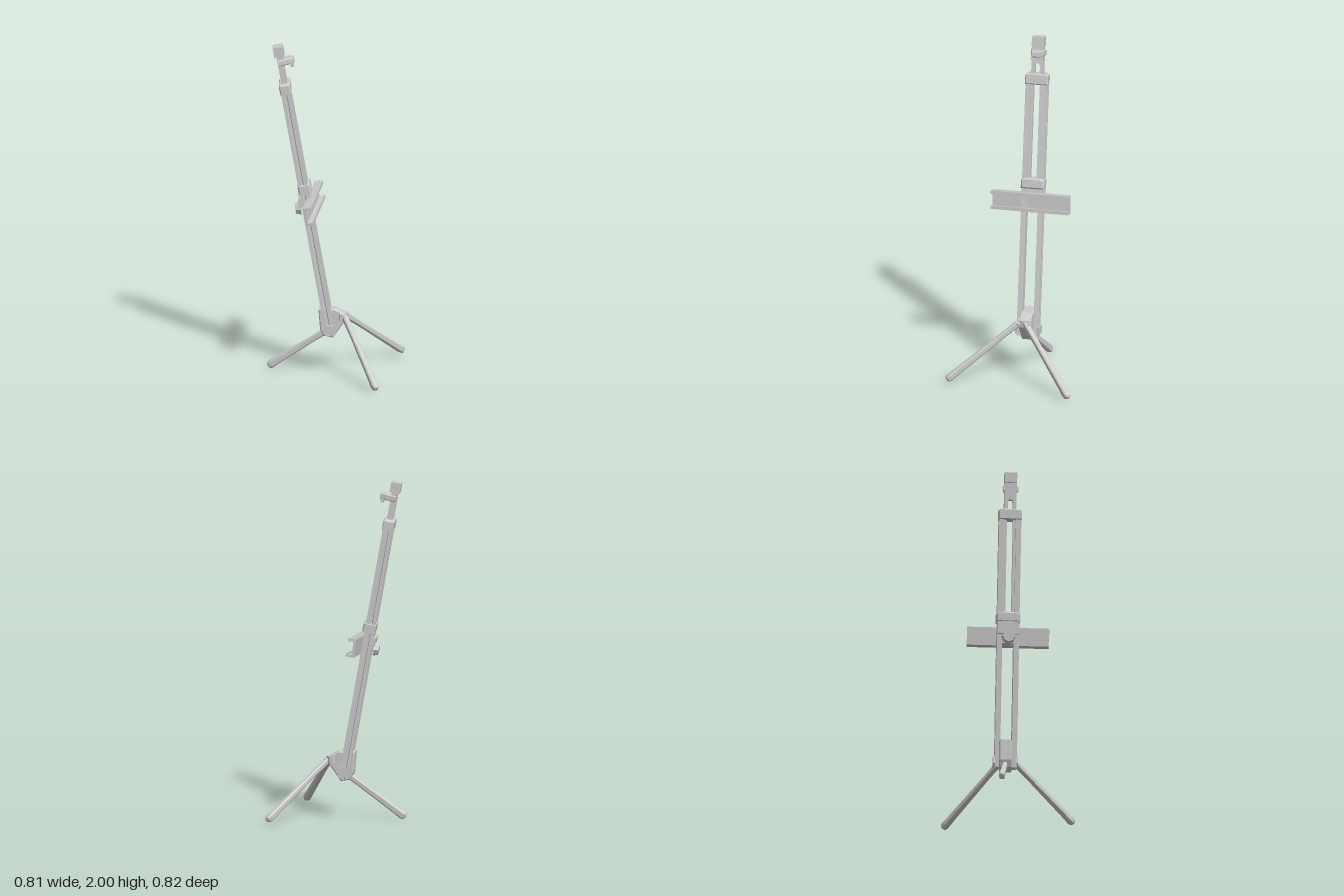
import * as THREE from 'three';

const material = new THREE.MeshStandardMaterial({ color: 0xcccccc, flatShading: true });
const rad = THREE.MathUtils.degToRad;

function add(parent, name, geometry, x = 0, y = 0, z = 0) {
  const mesh = new THREE.Mesh(geometry, material);
  mesh.name = name;
  mesh.position.set(x, y, z);
  parent.add(mesh);
  return mesh;
}

const box = (parent, name, w, h, d, x, y, z) =>
  add(parent, name, new THREE.BoxGeometry(w, h, d), x, y, z);

// Extrude an outline of [x, y] points, centred on its depth
function extrude(points, depth, bevel = 0) {
  const shape = new THREE.Shape(points.map(([x, y]) => new THREE.Vector2(x, y)));
  const geometry = new THREE.ExtrudeGeometry(shape, {
    depth: depth - 2 * bevel, bevelEnabled: bevel > 0,
    bevelSize: bevel, bevelThickness: bevel, bevelOffset: -bevel, bevelSegments: 1,
  });
  return geometry.translate(0, 0, bevel - depth / 2);
}

// Tapered leg with a blunt rounded foot, from hip to foot
function leg(parent, name, hip, foot, width, height) {
  const from = new THREE.Vector3(...hip), to = new THREE.Vector3(...foot);
  const length = from.distanceTo(to);
  const outline = [[-0.5, -0.3], [-0.3, -0.5], [0.3, -0.5], [0.5, -0.3],
    [0.5, 0.3], [0.3, 0.5], [-0.3, 0.5], [-0.5, 0.3]];
  const stations = [[0, 0.75], [0.04, 0.95], [0.3, 0.85], [0.85, 1.05], [0.95, 1.15], [0.985, 1], [1, 0.6]];
  const positions = [], index = [], n = outline.length;
  for (const [t, s] of stations)
    for (const [x, y] of outline) positions.push(x * width * s, y * height * s, t * length);
  for (let i = 0; i < stations.length - 1; i++)
    for (let j = 0; j < n; j++) {
      const a = i * n + j, b = i * n + (j + 1) % n;
      index.push(a, b, b + n, a, b + n, a + n);
    }
  const last = (stations.length - 1) * n;
  for (let j = 1; j < n - 1; j++) {
    index.push(0, j + 1, j);
    index.push(last, last + j, last + j + 1);
  }
  const geometry = new THREE.BufferGeometry();
  geometry.setAttribute('position', new THREE.Float32BufferAttribute(positions, 3));
  geometry.setIndex(index);
  geometry.computeVertexNormals();
  const mesh = add(parent, name, geometry, ...hip);
  mesh.lookAt(to);
}

function buildMast() {
  const mast = new THREE.Group();
  mast.name = 'mast';
  mast.position.set(-0.117, 0.24, -0.083);
  mast.rotation.set(rad(-10), rad(40), 0, 'YXZ');

  for (const side of [-1, 1]) {
    // Outer rail with a groove along its outer face
    const profile = [[0.034, -0.028], [0.065, -0.028], [0.065, -0.006], [0.057, -0.002],
      [0.057, 0.006], [0.065, 0.01], [0.065, 0.028], [0.034, 0.028]].map(([x, y]) => [x * side, y]);
    const rail = add(mast, 'outerRail', extrude(profile, 1.55), 0, 0.775, 0);
    rail.rotation.x = -Math.PI / 2;
    // Sliding rail inside the upper half
    box(mast, 'innerRail', 0.018, 0.68, 0.03, side * 0.027, 1.24, 0);
  }

  // Caps joining the rails
  add(mast, 'topJoint', extrude([[-0.068, -0.03], [0.068, -0.03], [0.068, 0.025],
    [0.058, 0.035], [-0.058, 0.035], [-0.068, 0.025]], 0.066, 0.006), 0, 1.53, 0);
  add(mast, 'middleJoint', extrude([[-0.07, -0.03], [0.07, -0.03], [0.07, 0.022],
    [0.05, 0.032], [-0.05, 0.032], [-0.07, 0.022]], 0.075, 0.008), 0, 0.91, 0.005);

  // Forked head plate, top block and canvas clamp
  add(mast, 'headFork', extrude([[-0.036, 0], [-0.015, 0], [-0.015, 0.075], [-0.008, 0.085],
    [0.008, 0.085], [0.015, 0.075], [0.015, 0], [0.036, 0], [0.036, 0.22], [-0.036, 0.22]], 0.034), 0, 1.54, 0);
  box(mast, 'headBlock', 0.072, 0.06, 0.06, 0, 1.755, 0.0);
  const clamp = add(mast, 'topClamp', extrude([[-0.047, -0.01], [0.047, -0.01], [0.035, 0.05],
    [0.025, 0.085], [-0.025, 0.085], [-0.035, 0.05]], 0.036, 0.005), 0, 1.69, -0.005);
  clamp.rotation.x = Math.PI / 2;
  box(mast, 'clampLip', 0.06, 0.024, 0.018, 0, 1.665, 0.064);

  // Tray carriage and its tightening knob
  box(mast, 'carriage', 0.07, 0.14, 0.06, 0, 0.82, 0);
  box(mast, 'carriageBackPlate', 0.125, 0.05, 0.018, 0, 0.83, -0.035);
  const knob = add(mast, 'knob', new THREE.CylinderGeometry(0.042, 0.034, 0.03, 8), 0, 0.785, -0.055);
  knob.rotation.x = Math.PI / 2;
  return mast;
}

function buildTray() {
  // Channel opening forward, with a grooved lip above and below
  const profile = [[-0.022, -0.055], [0.026, -0.055], [0.026, -0.035], [0.018, -0.035],
    [0.018, -0.043], [-0.008, -0.04], [-0.008, 0.038], [0.018, 0.041], [0.018, 0.034],
    [0.026, 0.034], [0.026, 0.055], [0.015, 0.055], [0.013, 0.047], [0.008, 0.047],
    [0.006, 0.055], [-0.006, 0.055], [-0.008, 0.047], [-0.013, 0.047], [-0.015, 0.055], [-0.022, 0.055]];
  const tray = new THREE.Group();
  tray.name = 'tray';
  tray.position.set(-0.185, 1.037, -0.155);
  tray.rotation.set(rad(-8), rad(32), rad(2.5), 'YXZ');
  const channel = add(tray, 'trayChannel', extrude(profile, 0.48));
  channel.rotation.y = -Math.PI / 2;
  channel.scale.x = 1;
  return tray;
}

function buildBase() {
  const base = new THREE.Group();
  base.name = 'base';

  // Hub block between the rails, seen from the side as a sloped wedge
  const hub = new THREE.Group();
  hub.name = 'hub';
  hub.position.set(-0.117, 0.24, -0.083);
  hub.rotation.y = rad(36);
  const wedge = add(hub, 'hubBlock', extrude([[-0.04, -0.01], [0.015, -0.02], [0.05, 0.03],
    [0.085, 0.08], [0.085, 0.125], [0.03, 0.155], [-0.07, 0.155], [-0.06, 0.03]], 0.074, 0.006));
  wedge.rotation.y = -Math.PI / 2;
  // Side cheeks over the rail feet
  for (const side of [-1, 1])
    box(hub, 'hubCheek', 0.015, 0.05, 0.065, side * 0.066, 0.04, -0.005);
  // Front collar with two hinge bolts
  const collar = add(hub, 'legCollar', new THREE.CylinderGeometry(0.045, 0.045, 0.04, 10), 0, 0.105, 0.07);
  collar.scale.z = 0.8;
  for (const side of [-1, 1]) {
    const bolt = add(hub, 'hingeBolt', new THREE.CylinderGeometry(0.009, 0.009, 0.03, 6), side * 0.027, 0.105, 0.1);
    bolt.rotation.set(Math.PI / 2, 0, -side * 0.5);
  }
  base.add(hub);

  leg(base, 'leftFrontLeg', [-0.065, 0.352, -0.015], [0.4, 0.03, 0.028], 0.036, 0.036);
  leg(base, 'rightFrontLeg', [-0.09, 0.352, 0.0], [-0.272, 0.03, 0.402], 0.036, 0.036);
  leg(base, 'backLeg', [-0.11, 0.28, -0.07], [-0.308, 0.019, -0.4], 0.03, 0.04);
  return base;
}

export function createModel() {
  const model = new THREE.Group();
  model.name = 'easel';
  model.add(buildMast(), buildTray(), buildBase());
  return model;
}
